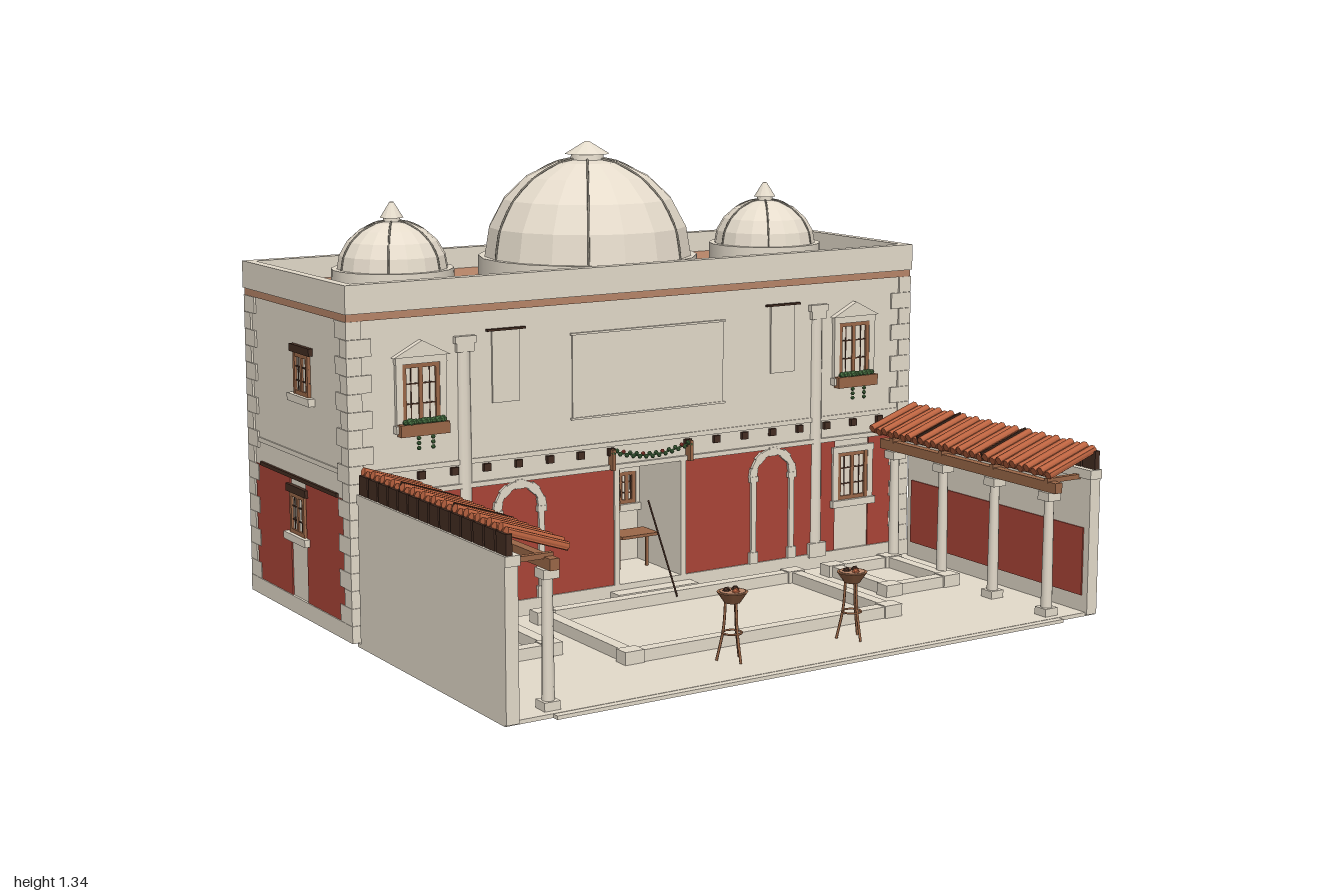
import * as THREE from 'three';

const mat = (name, color) => new THREE.MeshStandardMaterial({ name, color });
const M = {
  stone: mat('stone', 0xe4dbcb), pale: mat('pale stone', 0xe6dccc), red: mat('red plaster', 0xab4538),
  clay: mat('clay', 0xb98669), tile: mat('roof tile', 0xc06642), wood: mat('wood', 0x9c6848),
  dark: mat('dark wood', 0x442d22), metal: mat('grey metal', 0x8f897d), leaf: mat('leaf', 0x4a7444),
  water: mat('water', 0x4f86a0),
};

function add(parent, name, geo, m, x = 0, y = 0, z = 0) {
  const o = new THREE.Mesh(geo, m);
  o.name = name;
  o.position.set(x, y, z);
  parent.add(o);
  return o;
}
// box given by its limits on each axis
function slab(p, name, m, x0, x1, y0, y1, z0, z1) {
  const g = new THREE.BoxGeometry(Math.abs(x1 - x0), y1 - y0, Math.abs(z1 - z0));
  return add(p, name, g, m, (x0 + x1) / 2, (y0 + y1) / 2, (z0 + z1) / 2);
}
function group(p, name, x = 0, y = 0, z = 0, ry = 0) {
  const g = new THREE.Group();
  g.name = name;
  g.position.set(x, y, z);
  g.rotation.y = ry;
  p.add(g);
  return g;
}
const flat = (g) => { const f = g.index ? g.toNonIndexed() : g; f.computeVertexNormals(); return f; };
const cyl = (r0, r1, h, n = 10) => new THREE.CylinderGeometry(r0, r1, h, n);
const tube = (pts, r, seg = 12) => new THREE.TubeGeometry(
  new THREE.CatmullRomCurve3(pts.map((p) => new THREE.Vector3(...p))), seg, r, 5);
let seed = 7;
const rnd = () => (seed = (seed * 16807) % 2147483647) / 2147483647;

const HX = 0.967, F = -0.097, B = -0.797, ZC = -0.446; // wall faces and dome line

// window facing +z, centred on its opening
function windowUnit(p, x, y, z, ry, w, h, { top = 'frame', planter = false, name = 'window' } = {}) {
  const g = group(p, name, x, y, z, ry), a = w / 2, b = h / 2, t = 0.012;
  slab(g, 'pane', M.pale, -a, a, -b, b, -0.002, 0.003);
  for (const s of [-1, 1]) {
    slab(g, 'woodJamb', M.wood, s * a, s * (a - t), -b, b, 0, 0.01);
    slab(g, 'woodRail', M.wood, -a, a, s > 0 ? b - t : -b, s > 0 ? b : -b + t, 0, 0.009);
    slab(g, 'bar', M.dark, -a, a, s * b / 3 - 0.002, s * b / 3 + 0.002, 0, 0.006);
    slab(g, 'thinMullion', M.dark, s * a / 2 - 0.0015, s * a / 2 + 0.0015, -b, b, 0, 0.005);
    if (top !== 'beam') slab(g, 'stoneJamb', M.stone, s * a, s * (a + 0.02), -b, b, 0, 0.012);
  }
  slab(g, 'mullion', M.wood, -0.006, 0.006, -b, b, 0, 0.008);
  slab(g, 'sill', M.stone, -a - 0.025, a + 0.025, -b - 0.022, -b, 0, 0.02);
  if (top === 'beam') slab(g, 'lintel', M.dark, -a - 0.018, a + 0.018, b, b + 0.022, 0, 0.013);
  else slab(g, 'lintel', M.stone, -a - 0.022, a + 0.022, b, b + 0.02, 0, 0.014);
  if (top === 'pediment') {
    const s = new THREE.Shape([[-a - 0.03, 0], [a + 0.03, 0], [0, 0.045]].map((q) => new THREE.Vector2(...q)));
    add(g, 'pediment', new THREE.ExtrudeGeometry(s, { depth: 0.02, bevelEnabled: false }), M.stone, 0, b + 0.02, 0);
  }
  if (planter) {
    slab(g, 'planter', M.wood, -a - 0.018, a + 0.018, -b - 0.03, -b + 0.004, 0.008, 0.034);
    for (let i = 0; i < 9; i++)
      add(g, 'plant', new THREE.IcosahedronGeometry(0.009 + rnd() * 0.004), M.leaf, (i - 4) * w / 8, -b + 0.01, 0.025);
    for (let i = 0; i < 6; i++)
      add(g, 'trailingPlant', new THREE.IcosahedronGeometry(0.007), M.leaf,
        (i % 2 ? 0.022 : -0.022), -b - 0.035 - 0.014 * Math.floor(i / 2), 0.034);
  }
}

function dome(p, x, r, ringR, h, capR, capY, tipY, ribR) {
  const g = group(p, 'dome', x, 0, ZC);
  add(g, 'domeRing', cyl(ringR, ringR, 0.065, 18), M.stone, 0, 0.962, 0);
  const shell = new THREE.SphereGeometry(r, 18, 5, 0, Math.PI * 2, 0, Math.PI / 2).scale(1, h / r, 1);
  add(g, 'domeShell', flat(shell), M.pale, 0, 0.99, 0);
  for (let i = 0; i < 6; i++) {
    const a = i * Math.PI / 3, pts = [];
    for (let k = 0; k <= 6; k++) {
      const e = k * Math.PI / 12 * 0.95;
      pts.push([Math.cos(e) * r * Math.cos(a), 0.99 + Math.sin(e) * h, Math.cos(e) * r * Math.sin(a)]);
    }
    add(g, 'domeRib', tube(pts, ribR), M.metal);
  }
  add(g, 'lanternNeck', cyl(capR * 0.7, capR * 0.8, 0.04, 12), M.stone, 0, capY - 0.015, 0);
  add(g, 'lanternCap', flat(cyl(0.006, capR, tipY - capY, 12)), M.stone, 0, (capY + tipY) / 2, 0);
}

function building(p) {
  const g = group(p, 'building');
  // walls around a deep entrance recess
  slab(g, 'mainWalls', M.stone, -HX, HX, 0.04, 0.93, B, -0.34);
  for (const s of [-1, 1]) slab(g, 'frontWall', M.stone, s * 0.11, s * HX, 0.04, 0.93, -0.34, F);
  slab(g, 'wallAboveEntrance', M.stone, -0.11, 0.11, 0.41, 0.93, -0.34, F);
  slab(g, 'plinth', M.stone, -0.974, 0.974, 0.001, 0.05, -0.802, -0.088);
  slab(g, 'underside', M.dark, -0.95, 0.95, 0, 0.002, -0.78, -0.11);
  slab(g, 'beltCourse', M.stone, -0.971, 0.971, 0.468, 0.482, -0.801, -0.093);
  slab(g, 'clayBand', M.clay, -0.971, 0.971, 0.899, 0.92, -0.8, -0.093);
  slab(g, 'roofFloor', M.clay, -0.95, 0.95, 0.925, 0.936, -0.78, -0.11);
  for (const s of [-1, 1]) slab(g, 'parapetSide', M.stone, s * 0.975, s * 0.945, 0.92, 1, -0.803, -0.088);
  slab(g, 'parapetFront', M.stone, -0.946, 0.946, 0.92, 1, -0.12, -0.088);
  slab(g, 'parapetBack', M.stone, -0.946, 0.946, 0.92, 1, -0.803, -0.771);
  // corner quoins
  for (const sx of [-1, 1]) for (const front of [true, false]) for (let i = 0; i < 17; i++) {
    const l = i % 2 ? 0.075 : 0.045, k = i % 2 ? 0.045 : 0.075, y = 0.05 + i * 0.05;
    const zo = front ? F + 0.006 : B - 0.005;
    slab(g, 'quoin', M.stone, sx * 0.973, sx * (0.973 - l), y, y + 0.049, zo, front ? zo - k : zo + k);
  }
  // front: mirrored parts
  for (const s of [-1, 1]) {
    slab(g, 'redPanel', M.red, s * 0.112, s * 0.685, 0.05, 0.4, F, F + 0.004);
    slab(g, 'redPanel', M.red, s * 0.815, s * 0.93, 0.05, 0.4, F, F + 0.004);
    const a = group(g, 'archDoorway', s * 0.443, 0, F);
    for (const t of [-1, 1]) {
      slab(a, 'archJamb', M.stone, t * 0.062, t * 0.08, 0.05, 0.31, 0, 0.012);
      slab(a, 'archFoot', M.stone, t * 0.056, t * 0.087, 0.05, 0.085, 0, 0.015);
      slab(a, 'archImpost', M.stone, t * 0.056, t * 0.087, 0.305, 0.322, 0, 0.015);
    }
    for (let i = 0; i < 9; i++) {
      const e = (i + 0.5) * Math.PI / 9;
      const v = add(a, 'archStone', new THREE.BoxGeometry(i % 2 ? 0.02 : 0.027, 0.028, 0.014), M.stone,
        Math.cos(e) * 0.073, 0.32 + Math.sin(e) * 0.073, 0.006);
      v.rotation.z = e;
    }
    const c = group(g, 'pilaster', s * 0.612, 0, F);
    add(c, 'shaft', cyl(0.022, 0.025, 0.73, 12), M.stone, 0, 0.435, -0.01);
    slab(c, 'base', M.stone, -0.032, 0.032, 0.04, 0.085, -0.01, 0.018);
    slab(c, 'capital', M.stone, -0.033, 0.033, 0.815, 0.835, -0.01, 0.016);
    slab(c, 'capitalNeck', M.stone, -0.027, 0.027, 0.79, 0.815, -0.01, 0.014);
    windowUnit(g, s * 0.75, 0.285, F, 0, 0.115, 0.15);
    windowUnit(g, s * 0.75, 0.685, F, 0, 0.115, 0.17, { top: 'pediment', planter: true });
    slab(g, 'banner', M.stone, s * 0.436, s * 0.524, 0.635, 0.84, F, F + 0.006);
    slab(g, 'bannerRod', M.dark, s * 0.418, s * 0.542, 0.841, 0.847, F, F + 0.012);
    for (let i = 1; i < 9; i++)
      slab(g, 'beamEnd', M.dark, s * (i * 0.103 + 0.02), s * (i * 0.103 + 0.042), 0.442, 0.464, F, F + 0.012);
  }
  slab(g, 'frontLedge', M.stone, -0.93, 0.93, 0.4, 0.414, F, F + 0.01);
  slab(g, 'facadePanel', M.stone, -0.262, 0.262, 0.565, 0.81, F, F + 0.004);
  for (const y of [0.56, 0.808]) slab(g, 'panelMoulding', M.stone, -0.268, 0.268, y, y + 0.006, F, F + 0.008);
  // right and left sides
  for (const [s, z0, z1] of [[1, -0.33, -0.435], [-1, -0.39, -0.5]]) {
    slab(g, 'sideRedPanel', M.red, s * HX, s * (HX + 0.004), 0.05, 0.4, -0.14, z0);
    slab(g, 'sideRedPanel', M.red, s * HX, s * (HX + 0.004), 0.05, 0.4, z1, -0.75);
    slab(g, 'sideLintel', M.dark, s * HX, s * (HX + 0.008), 0.4, 0.411, -0.175, -0.71);
  }
  windowUnit(g, HX, 0.28, -0.38, Math.PI / 2, 0.115, 0.13);
  windowUnit(g, HX, 0.695, -0.53, Math.PI / 2, 0.11, 0.14, { planter: true });
  windowUnit(g, -HX, 0.3, -0.445, -Math.PI / 2, 0.1, 0.12, { top: 'beam' });
  windowUnit(g, -HX, 0.715, -0.395, -Math.PI / 2, 0.1, 0.12, { top: 'beam' });
  // back windows
  for (const [x, y] of [[-0.79, 0.71], [-0.79, 0.285], [-0.1, 0.71], [0.08, 0.3], [0.795, 0.71], [0.795, 0.285]])
    windowUnit(g, x, y, B, Math.PI, 0.09, 0.11, { top: 'beam', name: 'backWindow' });
  dome(g, 0, 0.318, 0.334, 0.3, 0.068, 1.3, 1.338, 0.0035);
  for (const s of [-1, 1]) dome(g, s * 0.657, 0.162, 0.178, 0.142, 0.034, 1.14, 1.185, 0.003);
}

function entrance(p) {
  const g = group(p, 'entrance');
  slab(g, 'step', M.stone, -0.14, 0.14, 0.01, 0.032, -0.09, -0.04);
  for (const s of [-1, 1]) slab(g, 'doorPost', M.stone, s * 0.108, s * 0.125, 0.05, 0.41, -0.2, F + 0.01);
  // door leaf folded against the side of the recess, slatted above and latticed below
  slab(g, 'openDoor', M.dark, -0.106, -0.1, 0.05, 0.4, -0.33, -0.105);
  for (let i = 0; i < 6; i++) slab(g, 'doorSlat', M.wood, -0.101, -0.095, 0.27 + i * 0.021, 0.286 + i * 0.021, -0.33, -0.105);
  for (let i = 0; i < 5; i++) slab(g, 'doorLattice', M.wood, -0.101, -0.098, 0.05, 0.26, -0.32 + i * 0.05, -0.317 + i * 0.05);
  windowUnit(g, 0.067, 0.28, -0.339, 0, 0.06, 0.1);
  const shield = group(g, 'shield', 0, 0.27, -0.31);
  for (const [r, m, z] of [[0.031, M.dark, 0], [0.024, M.wood, 0.004], [0.01, M.metal, 0.008]])
    add(shield, 'shieldDisc', cyl(r, r, 0.01, 16), m, 0, 0, z).rotation.x = Math.PI / 2;
  slab(g, 'tableTop', M.wood, -0.03, 0.1, 0.152, 0.161, -0.29, -0.2);
  for (const x of [-0.015, 0.085]) slab(g, 'tableLeg', M.wood, x - 0.004, x + 0.004, 0.05, 0.152, -0.25, -0.242);
  add(g, 'leaningPole', tube([[0, 0.29, -0.1], [0, 0.16, -0.02], [0, 0.03, 0.06]], 0.003), M.dark);
  const pts = [];
  for (let i = 0; i <= 24; i++) pts.push([-0.135 + i * 0.01125, 0.456 - 0.022 * Math.sin(i * Math.PI / 24), -0.075]);
  add(g, 'garland', tube(pts, 0.003, 48), M.leaf);
  pts.forEach((q, i) => add(g, 'garlandLeaf', new THREE.IcosahedronGeometry(0.007), i % 6 === 3 ? M.red : M.leaf,
    q[0], q[1] + (i % 2 ? 0.005 : -0.005), q[2]));
  for (const x of [-0.135, 0.135]) slab(g, 'garlandHook', M.wood, x - 0.005, x + 0.005, 0.4, 0.462, F, -0.07);
}

function basin(p, x0, x1, z0, z1) {
  const g = group(p, 'basin'), t = 0.036, top = 0.045;
  slab(g, 'rimBack', M.stone, x0, x1, 0.01, top, z0, z0 + t);
  slab(g, 'rimFront', M.stone, x0, x1, 0.01, top, z1 - t, z1);
  for (const [a, b] of [[x0, x0 + t], [x1 - t, x1]]) {
    slab(g, 'rimSide', M.stone, a, b, 0.01, top, z0 + t, z1 - t);
    for (const z of [z0, z1 - t])
      slab(g, 'rimCorner', M.stone, a - 0.012, b + 0.012, 0.01, top + 0.003, z - 0.006, z + t + 0.006);
  }
  const c = (x0 + x1) / 2, w = Math.min(0.1, (x1 - x0) * 0.34);
  for (const k of [0, 1]) slab(g, 'basinStep', M.stone, c - w, c + w, 0.01, 0.026 - k * 0.008, z1 - 0.075 - k * 0.03, z1 - 0.04 - k * 0.03);
  slab(g, 'water', M.water, x0 - 0.012, x1 + 0.012, 0, 0.002, z0 - 0.006, z1 + 0.006);
}

function courtyard(p) {
  const g = group(p, 'courtyard');
  slab(g, 'paving', M.stone, -0.972, 0.972, 0.001, 0.012, -0.06, 0.785);
  slab(g, 'pavingEdge', M.stone, -0.835, 0.835, 0.001, 0.011, 0.785, 0.805);
  basin(g, -0.455, 0.455, 0.012, 0.522);
  for (const s of [-1, 1]) {
    basin(g, s > 0 ? 0.565 : -0.82, s > 0 ? 0.82 : -0.565, 0.02, 0.34);
    const c = group(g, 'colonnade');
    slab(c, 'yardWall', M.stone, s * 0.972, s * 0.935, 0.005, 0.405, -0.04, 0.792);
    slab(c, 'wallCap', M.stone, s * 0.973, s * 0.93, 0.405, 0.432, -0.045, 0.797);
    slab(c, 'innerRedPanel', M.red, s * 0.935, s * 0.931, 0.06, 0.26, -0.02, 0.77);
    for (let i = 0; i < 4; i++) {
      const z = 0.03 + i * 0.237;
      add(c, 'column', cyl(0.014, 0.017, 0.33, 12), M.stone, s * 0.825, 0.19, z);
      slab(c, 'columnBase', M.stone, s * 0.802, s * 0.848, 0.01, 0.035, z - 0.023, z + 0.023);
      slab(c, 'columnCapital', M.stone, s * 0.802, s * 0.848, 0.35, 0.375, z - 0.023, z + 0.023);
      slab(c, 'rafter', M.wood, s * 0.81, s * 0.945, 0.4, 0.414, z - 0.008, z + 0.008);
    }
    slab(c, 'roofBeam', M.wood, s * 0.812, s * 0.838, 0.375, 0.405, -0.03, 0.78);
    // sloping tiled roof
    const r = group(c, 'tiledRoof', s * 0.873, 0.458, 0.37);
    r.rotation.z = s * 0.33;
    slab(r, 'roofDeck', M.tile, -0.088, 0.088, -0.006, 0.01, -0.415, 0.415);
    for (let i = 0; i < 28; i++)
      add(r, 'roofTile', cyl(0.013, 0.013, 0.182, 6), M.tile, 0, i % 2 ? 0.003 : 0.009, -0.405 + i * 0.03).rotation.z = Math.PI / 2;
    for (const z of [-0.18, 0.12]) slab(r, 'roofJoint', M.dark, -0.09, 0.09, 0, 0.022, z - 0.003, z + 0.003);
    for (let i = 0; i < 14; i++)
      slab(c, 'fascia', M.dark, s * 0.95, s * 0.967, 0.43, 0.486, -0.04 + i * 0.06, 0.012 + i * 0.06);
    // tripod brazier
    const b = group(g, 'brazier', s * 0.2, 0.01, 0.64);
    add(b, 'bowl', cyl(0.043, 0.022, 0.03, 12), M.wood, 0, 0.178, 0);
    add(b, 'embers', cyl(0.036, 0.036, 0.004, 12), M.clay, 0, 0.193, 0);
    for (let i = 0; i < 3; i++) {
      const e = i * Math.PI * 2 / 3 + Math.PI / 2, x = Math.cos(e), z = Math.sin(e);
      add(b, 'leg', tube([[x * 0.018, 0.175, z * 0.018], [x * 0.024, 0.09, z * 0.024], [x * 0.042, 0.003, z * 0.042]], 0.004), M.wood);
      add(b, 'coal', new THREE.IcosahedronGeometry(0.011), i ? M.dark : M.tile, x * 0.016, 0.196, z * 0.016);
    }
    add(b, 'legRing', new THREE.TorusGeometry(0.026, 0.003, 5, 14), M.wood, 0, 0.08, 0).rotation.x = Math.PI / 2;
  }
}

export function createModel() {
  const root = new THREE.Group();
  root.name = 'courtyardVilla';
  const body = group(root, 'villa', -0.012);
  building(body);
  entrance(body);
  courtyard(body);
  return root;
}
